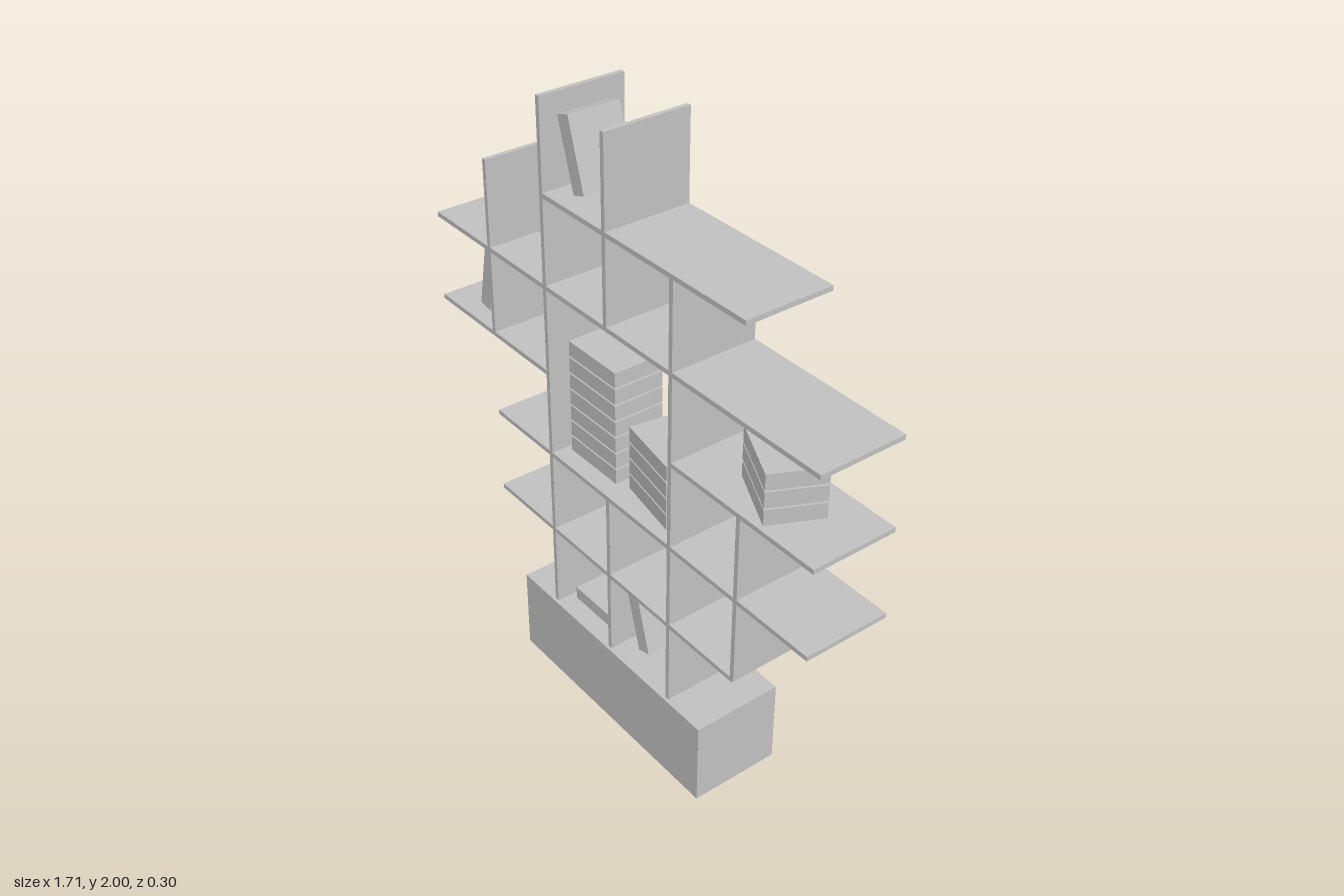
import * as THREE from 'three';

export function createModel() {
  const model = new THREE.Group();
  const grey = new THREE.MeshStandardMaterial({ color: 0xc0c0c0 });
  grey.name = 'plain grey';

  const T = 0.015; // board thickness
  const D = 0.28; // board depth
  const S = 2 / 7; // grid module
  const BOOK = [0.222, 0.05, 0.17]; // length, thickness, width

  function box(name, w, h, d, x, y, z = 0, parent = model) {
    const mesh = new THREE.Mesh(new THREE.BoxGeometry(w, h, d), grey);
    mesh.name = name;
    mesh.position.set(x, y, z);
    parent.add(mesh);
    return mesh;
  }

  // Plinth
  box('base', 0.894, S, 0.3, 0, S / 2);

  // Horizontal shelves: level, start and end in grid modules
  for (const [level, x0, x1] of [
    [2, -2, 2], [3, -2, 3], [4, -3, -1], [4, 1, 3], [5, -3, 3], [6, -1, 2],
  ]) {
    box('shelf', (x1 - x0) * S, T, D, ((x0 + x1) / 2) * S, level * S);
  }

  // Upright panels: column, bottom and top in grid modules
  for (const [column, y0, y1] of [
    [-2, 4, 6], [-1, 1, 7], [0, 1, 3], [0, 5, 7], [1, 1, 6], [2, 2, 4],
  ]) {
    box('upright', T, (y1 - y0) * S, D, column * S, ((y0 + y1) / 2) * S);
  }

  // Stacks of lying books: x, bottom, count, turn
  for (const [x, y, count, turn] of [
    [-0.143, 0.867, 7, 0],
    [0.131, 0.867, 4, -0.17],
    [0.589, 1.152, 3, -0.46],
  ]) {
    const stack = new THREE.Group();
    stack.name = 'bookStack';
    stack.position.set(x, y, 0);
    stack.rotation.y = turn;
    for (let i = 0; i < count; i++) {
      box('lyingBook', ...BOOK, 0, BOOK[1] / 2 + i * 0.0553, 0, stack);
    }
    model.add(stack);
  }

  // Single book lying on the plinth
  box('lyingBook', BOOK[0], 0.043, BOOK[2], -0.143, S + 0.0215);

  // Leaning books: x, y of centre, tilt
  for (const [x, y, tilt] of [
    [-0.222, 1.837, 0.3],
    [0.066, 0.408, 0.28],
    [-0.686, 1.263, -0.2],
    [-0.625, 1.264, -0.22],
  ]) {
    const book = box('leaningBook', BOOK[1], BOOK[0], BOOK[2], x, y, -0.003);
    book.rotation.z = tilt;
  }

  return model;
}
